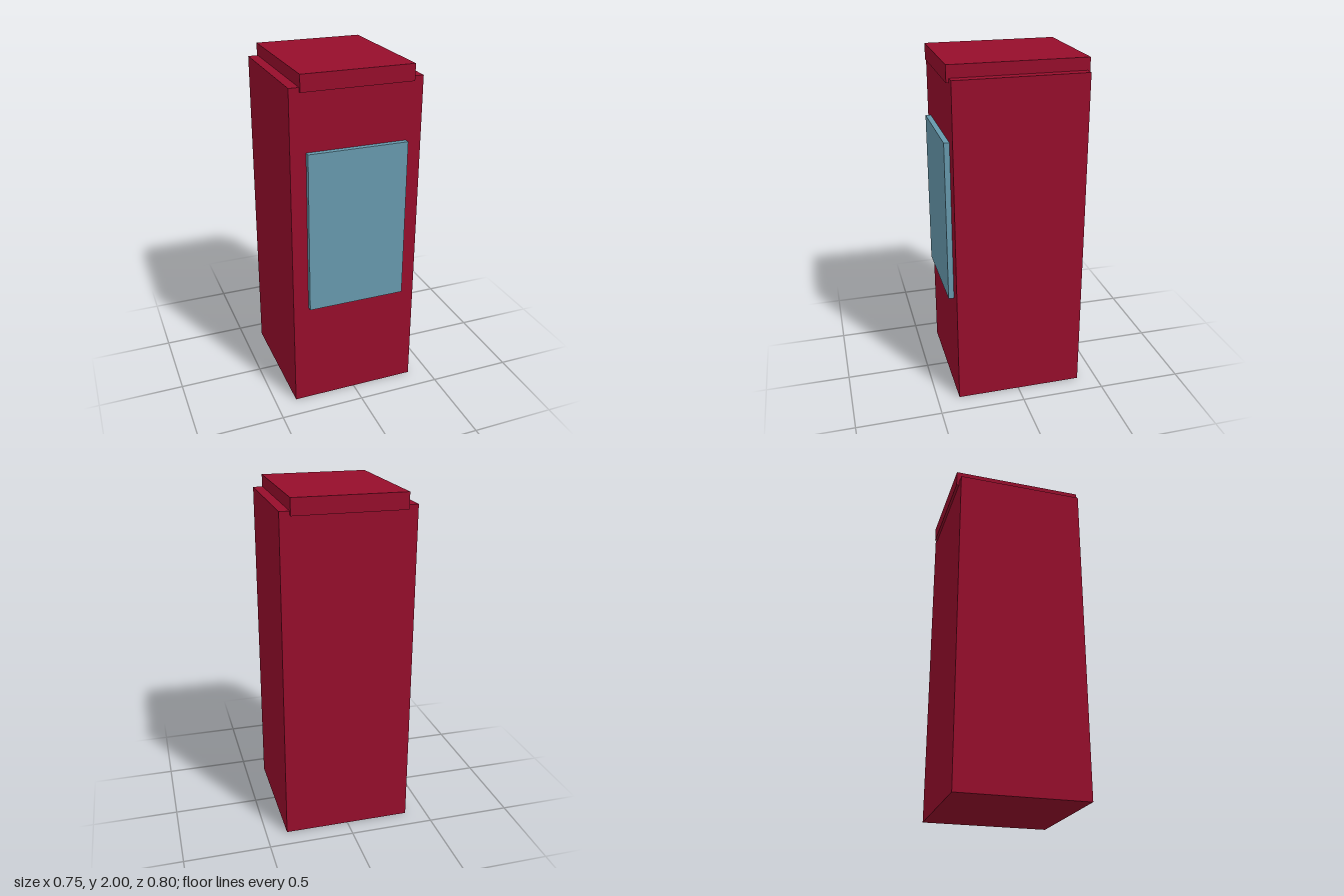
import * as THREE from 'three';

export function createModel() {
  const model = new THREE.Group();
  const red = new THREE.MeshStandardMaterial({ color: 0x960d2b });
  red.name = 'cabinet red';
  const blue = new THREE.MeshStandardMaterial({ color: 0x6698ac });
  blue.name = 'panel blue';

  // Box given by its minimum and maximum corners
  function addBox(name, min, max, material) {
    const size = max.map((v, i) => v - min[i]);
    const mesh = new THREE.Mesh(new THREE.BoxGeometry(...size), material);
    mesh.position.set(...max.map((v, i) => (v + min[i]) / 2));
    mesh.name = name;
    model.add(mesh);
  }

  // Tall cabinet
  addBox('cabinetBody', [-0.377, 0, -0.385], [0.377, 1.93, 0.369], red);
  // Narrower cap, overhanging slightly at front and back
  addBox('topCap', [-0.32, 1.906, -0.4], [0.32, 2, 0.384], red);
  // Raised front panel, set slightly into the cabinet
  addBox('frontPanel', [-0.288, 0.635, 0.36], [0.288, 1.578, 0.4], blue);

  return model;
}
